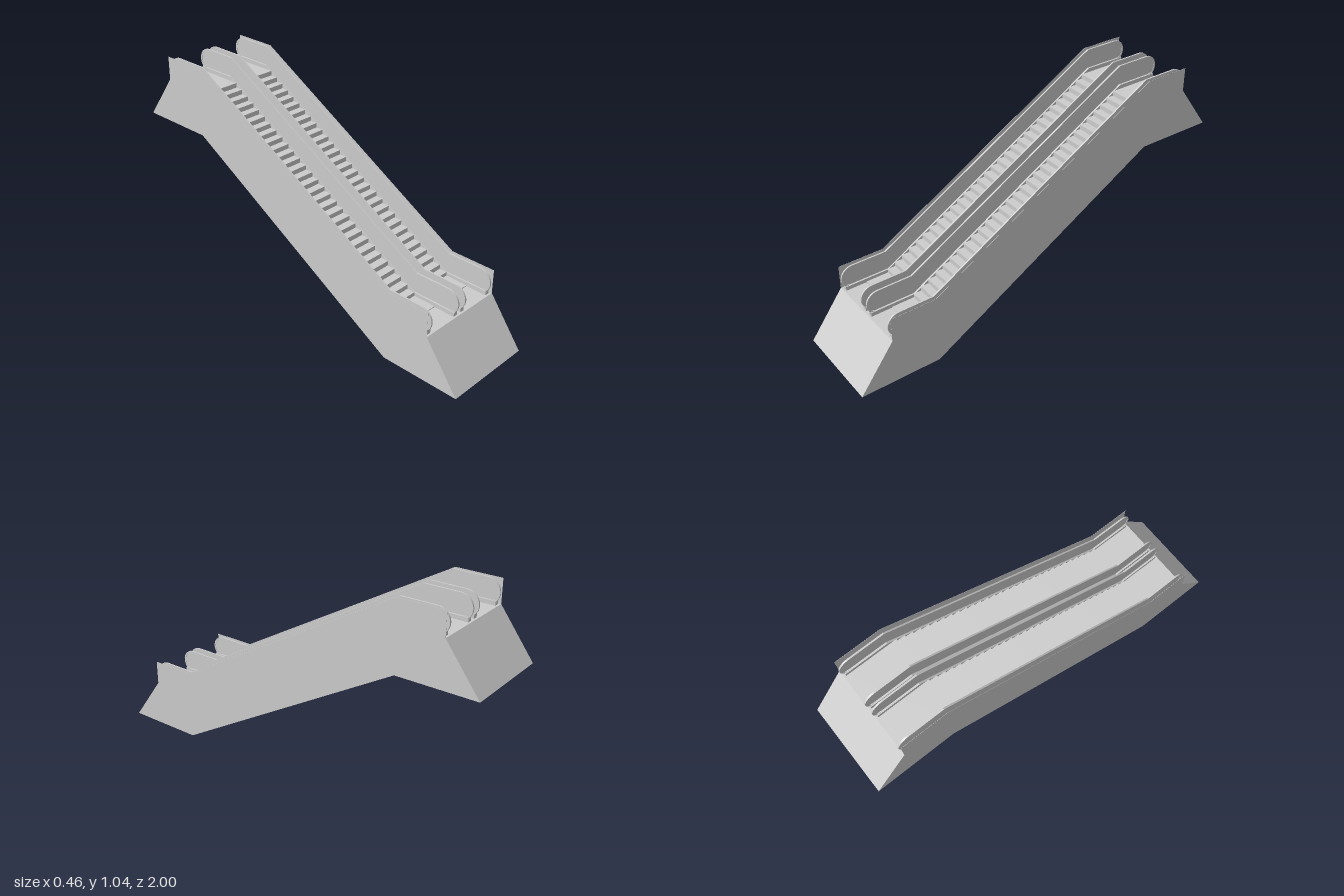
import * as THREE from 'three';

const TAN15 = Math.tan(Math.PI / 12);
const RUN_START = 0.6, LOW = 0.23, HIGH = 0.923, STEPS = 30;

// Extrude a (z, y) outline across x, centred on x
function slab(points, width, x, material, name) {
  const shape = new THREE.Shape(points.map(([z, y]) => new THREE.Vector2(z, y)));
  const geometry = new THREE.ExtrudeGeometry(shape, { depth: width, bevelEnabled: false });
  geometry.translate(0, 0, -width / 2);
  geometry.rotateY(-Math.PI / 2);
  const mesh = new THREE.Mesh(geometry, material);
  mesh.position.x = x;
  mesh.name = name;
  return mesh;
}

// Balustrade edge from the lower rounded nose to the upper one, moved inwards by inset
function railPath(inset) {
  const r = 0.06 - inset, points = [], n = 16, sweep = 145;
  for (let i = 0; i <= n; i++) {
    const a = THREE.MathUtils.degToRad(-55 + (sweep * i) / n);
    points.push([0.775 + r * Math.cos(a), 0.29 + r * Math.sin(a)]);
  }
  points.push([RUN_START + inset * TAN15, 0.35 - inset]);
  points.push([-RUN_START + inset * TAN15, 1.04 - inset]);
  for (let i = 0; i <= n; i++) {
    const a = THREE.MathUtils.degToRad(90 + (sweep * i) / n);
    points.push([-0.775 + r * Math.cos(a), 0.98 + r * Math.sin(a)]);
  }
  return points;
}

export function createModel() {
  const model = new THREE.Group();
  model.name = 'doubleEscalator';
  const grey = new THREE.MeshStandardMaterial({ color: 0xcccccc });
  grey.name = 'light grey';
  const greySheet = new THREE.MeshStandardMaterial({ color: 0xcccccc, side: THREE.DoubleSide });
  greySheet.name = 'light grey sheet';

  // Solid truss with slanted ends and flat landings
  model.add(slab([
    [1, 0], [0.83, LOW], [RUN_START, LOW], [-RUN_START, HIGH],
    [-0.83, HIGH], [-1, 0.695], [-RUN_START, 0.695], [RUN_START, 0],
  ], 0.46, 0, grey, 'truss'));

  // Thin outer side panels with square ends
  for (const side of [-1, 1]) {
    model.add(slab([
      [0.83, LOW], [0.83, 0.35], [RUN_START, 0.35], [-RUN_START, 1.04],
      [-0.83, 1.04], [-0.83, HIGH], [-RUN_START, HIGH], [RUN_START, LOW],
    ], 0.001, side * 0.2295, greySheet, side > 0 ? 'leftSidePanel' : 'rightSidePanel'));
  }

  // Four balustrades: skirt, infill panel and handrail
  const skirt = [
    [0.82, LOW], [0.82, LOW + 0.02], [RUN_START + 0.02 * -TAN15, LOW + 0.02],
    [-RUN_START - 0.02 * TAN15, HIGH + 0.02], [-0.82, HIGH + 0.02],
    [-0.82, HIGH], [-RUN_START, HIGH], [RUN_START, LOW],
  ];
  const infill = [...railPath(0.007), [-RUN_START, HIGH], [RUN_START, LOW]];
  const rail = [...railPath(0), ...railPath(0.008).reverse()];
  for (const x of [-0.206, -0.024, 0.024, 0.206]) {
    const balustrade = new THREE.Group();
    balustrade.name = 'balustrade';
    balustrade.position.x = x;
    balustrade.add(
      slab(skirt, 0.022, 0, grey, 'skirt'),
      slab(infill, 0.004, 0, grey, 'infillPanel'),
      slab(rail, 0.008, 0, grey, 'handrail'),
    );
    // Handrail inlets at both landings
    for (const [z, y] of [[0.81, 0.246], [-0.81, 0.939]]) {
      const inlet = new THREE.Mesh(new THREE.BoxGeometry(0.012, 0.014, 0.022), grey);
      inlet.position.set(0, y, z);
      inlet.name = 'handrailInlet';
      balustrade.add(inlet);
    }
    model.add(balustrade);
  }

  // Two flights of steps with a flat entry plate
  const run = (2 * RUN_START) / STEPS, rise = (HIGH - LOW) / STEPS;
  const flight = [[RUN_START, LOW]];
  for (let i = 0; i < STEPS; i++) {
    const z = RUN_START - i * run, y = LOW + (i + 1) * rise;
    flight.push([z, y], [z - run, y]);
  }
  flight.push([-RUN_START, HIGH - 0.03], [RUN_START, LOW - 0.03]);
  for (const x of [-0.115, 0.115]) {
    model.add(slab(flight, 0.16, x, grey, 'steps'));
    const plate = new THREE.Mesh(new THREE.BoxGeometry(0.16, 0.004, 0.115), grey);
    plate.position.set(x, LOW + 0.002, 0.6575);
    plate.name = 'entryPlate';
    model.add(plate);
  }
  return model;
}
